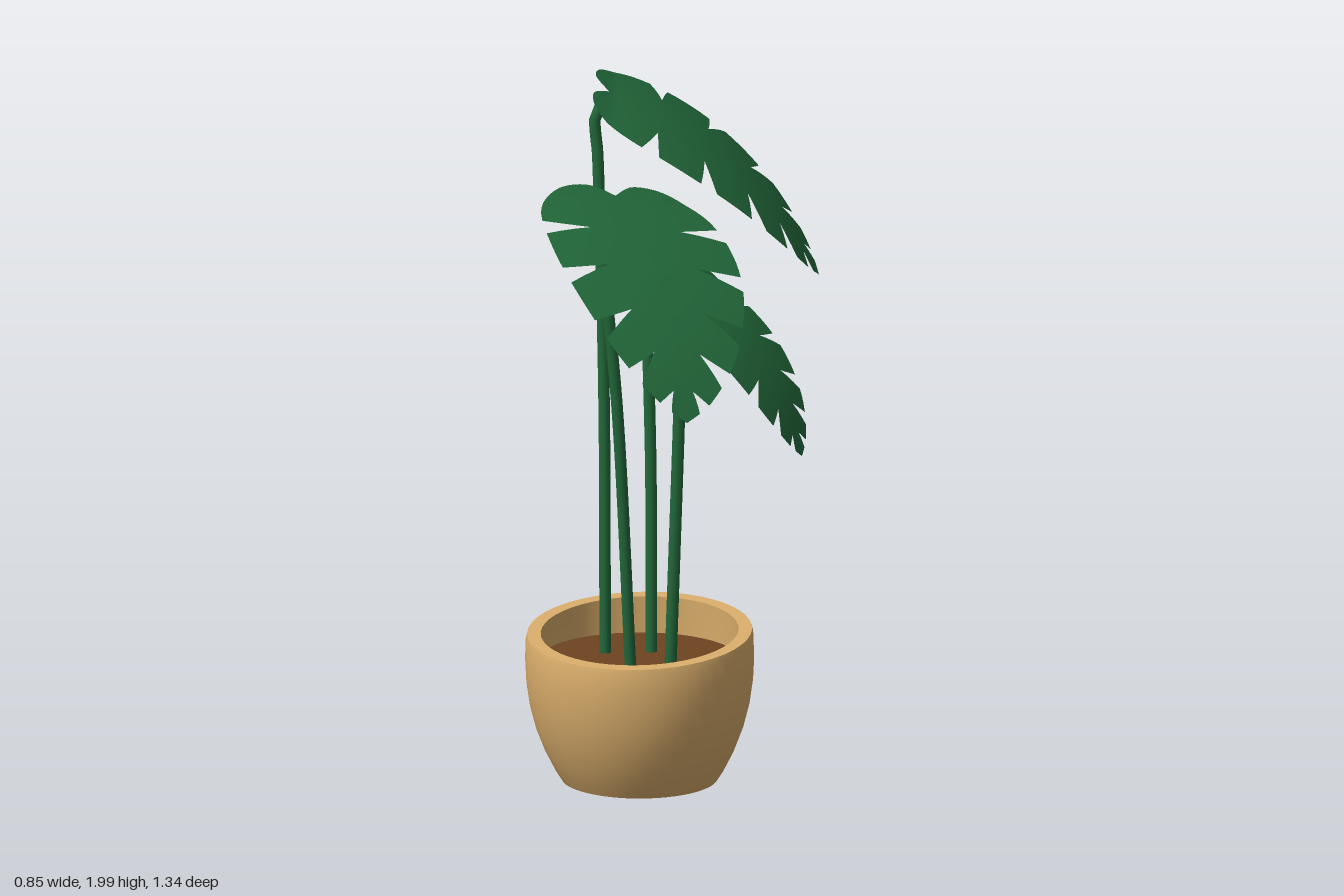
import * as THREE from 'three';
import { toCreasedNormals } from 'three/addons/utils/BufferGeometryUtils.js';

const V = (a) => new THREE.Vector3(...a);

// Half outline of a leaf: x = along the midrib, y = sideways, for a length of 1
const outline = new THREE.SplineCurve([
  [-0.02, 0], [-0.075, 0.1], [-0.045, 0.24], [0.085, 0.355], [0.3, 0.385],
  [0.52, 0.35], [0.75, 0.255], [0.92, 0.12], [1, 0],
].map(([x, y]) => new THREE.Vector2(x, y)));

// Places on the outline where slits cut the leaf into lobes
const slits = [0, 0.43, 0.57, 0.7, 0.81, 0.91, 1];

// Split leaf blade, arched from its base to its tip
function leafGeometry({ base, tip, side, width, bulge }) {
  const origin = V(base);
  const axis = V(tip).sub(origin);
  const len = axis.length();
  axis.normalize();
  const across = V(side);
  across.addScaledVector(axis, -across.dot(axis)).normalize();
  const up = axis.clone().cross(across);
  if (up.y < 0) { up.negate(); across.negate(); }

  const pos = [], idx = [];
  const rows = 6;
  for (const sign of [1, -1]) {
    for (let k = 0; k < slits.length - 1; k++) {
      const s0 = slits[k], s1 = slits[k + 1];
      const cols = k === 0 ? 16 : 5;
      const start = pos.length / 3;
      for (let i = 0; i <= cols; i++) {
        for (let j = 0; j <= rows; j++) {
          const v = j / rows;
          // Lobes narrow towards the rim, which opens the slits
          const cut = Math.max(0, (v - 0.5) / 0.5) * 0.02;
          const a = s0 + (k > 0 ? cut : 0);
          const b = s1 - (k < slits.length - 2 ? cut : 0);
          const s = a + (b - a) * (i / cols);
          const e = outline.getPoint(s);
          const u = THREE.MathUtils.lerp(s * s, e.x, v);
          const w = e.y * v * width;
          const arch = bulge * 4 * u * (1 - u) * (u < 0 ? 0.5 : 1);
          const p = origin.clone()
            .addScaledVector(axis, u * len)
            .addScaledVector(across, sign * w * len)
            .addScaledVector(up, (arch - 0.2 * w * w) * len);
          pos.push(p.x, p.y, p.z);
        }
      }
      for (let i = 0; i < cols; i++) {
        for (let j = 0; j < rows; j++) {
          const a = start + i * (rows + 1) + j, b = a + rows + 1;
          if (sign > 0) idx.push(a, b, b + 1, a, b + 1, a + 1);
          else idx.push(a, b + 1, b, a, a + 1, b + 1);
        }
      }
    }
  }
  const geo = new THREE.BufferGeometry();
  geo.setAttribute('position', new THREE.Float32BufferAttribute(pos, 3));
  geo.setIndex(idx);
  geo.computeVertexNormals();
  return geo;
}

// Each plant shoot: stem path and the leaf it carries
const shoots = [
  { name: 'tall',
    stem: [[-0.22, 0.33, -0.175], [-0.228, 1.1, -0.188], [-0.253, 1.78, -0.21], [-0.26, 1.9, -0.213], [-0.225, 1.948, -0.23]],
    leaf: { base: [-0.215, 1.955, -0.238], tip: [0.335, 1.43, -0.41], side: [0.28, -0.05, 0.958], width: 1.02, bulge: 0.1 } },
  { name: 'front',
    stem: [[-0.105, 0.33, -0.05], [-0.125, 1.1, 0.01], [-0.155, 1.55, 0.045], [-0.158, 1.67, 0.055], [-0.11, 1.735, 0.085]],
    leaf: { base: [-0.1, 1.745, 0.09], tip: [0.28, 1.27, 0.64], side: [0.75, -0.18, -0.62], width: 0.89, bulge: 0.1 } },
  { name: 'side',
    stem: [[0.005, 0.33, -0.07], [0.025, 0.9, -0.07], [0.042, 1.33, -0.065], [0.05, 1.41, -0.06], [0.075, 1.455, -0.055]],
    leaf: { base: [0.075, 1.465, -0.05], tip: [0.42, 1.02, 0.015], side: [-0.07, 0.06, 1], width: 0.95, bulge: 0.1 } },
  { name: 'back',
    stem: [[-0.1, 0.33, -0.225], [-0.11, 0.9, -0.25], [-0.13, 1.36, -0.27], [-0.135, 1.43, -0.275], [-0.118, 1.478, -0.29]],
    leaf: { base: [-0.112, 1.485, -0.295], tip: [0.06, 1.18, -0.665], side: [0.76, -0.42, 0.45], width: 0.93, bulge: 0.1 } },
];

export function createModel() {
  const group = new THREE.Group();
  const clay = new THREE.MeshStandardMaterial({ color: 0xd9ad6b });
  clay.name = 'clay';
  const earth = new THREE.MeshStandardMaterial({ color: 0x6e4421 });
  earth.name = 'earth';
  const green = new THREE.MeshStandardMaterial({ color: 0x22683a, side: THREE.DoubleSide });
  green.name = 'leaf green';

  const add = (name, geo, mat, parent = group) => {
    const mesh = new THREE.Mesh(geo, mat);
    mesh.name = name;
    parent.add(mesh);
    return mesh;
  };

  // Pot with a rim that slopes down to the front
  const potGroup = new THREE.Group();
  potGroup.name = 'potWithSoil';
  potGroup.position.set(-0.105, 0, -0.132);
  group.add(potGroup);
  const profile = [
    [0, 0], [0.219, 0], [0.238, 0.03], [0.266, 0.085], [0.291, 0.15], [0.309, 0.22], [0.319, 0.29],
    [0.322, 0.35], [0.32, 0.41], [0.316, 0.428], [0.278, 0.428], [0.281, 0.38], [0.283, 0.32],
  ].map(([x, y]) => new THREE.Vector2(x, y));
  const pot = new THREE.LatheGeometry(profile, 48);
  const p = pot.attributes.position;
  for (let i = 0; i < p.count; i++) {
    const y = p.getY(i);
    p.setY(i, y - 0.087 * p.getZ(i) * (y / 0.428) ** 2);
  }
  add('pot', toCreasedNormals(pot, 0.65), clay, potGroup);

  // Soil
  const soil = add('soil', new THREE.CircleGeometry(0.284, 48), earth, potGroup);
  soil.rotation.x = -Math.PI / 2;
  soil.position.y = 0.345;

  // Stems and leaves
  for (const { name, stem, leaf } of shoots) {
    const shoot = new THREE.Group();
    shoot.name = name + 'Shoot';
    group.add(shoot);
    const path = new THREE.CatmullRomCurve3(stem.map(V));
    add(name + 'Stem', new THREE.TubeGeometry(path, 40, 0.017, 10), green, shoot);
    add(name + 'Leaf', leafGeometry(leaf), green, shoot);
  }
  return group;
}
